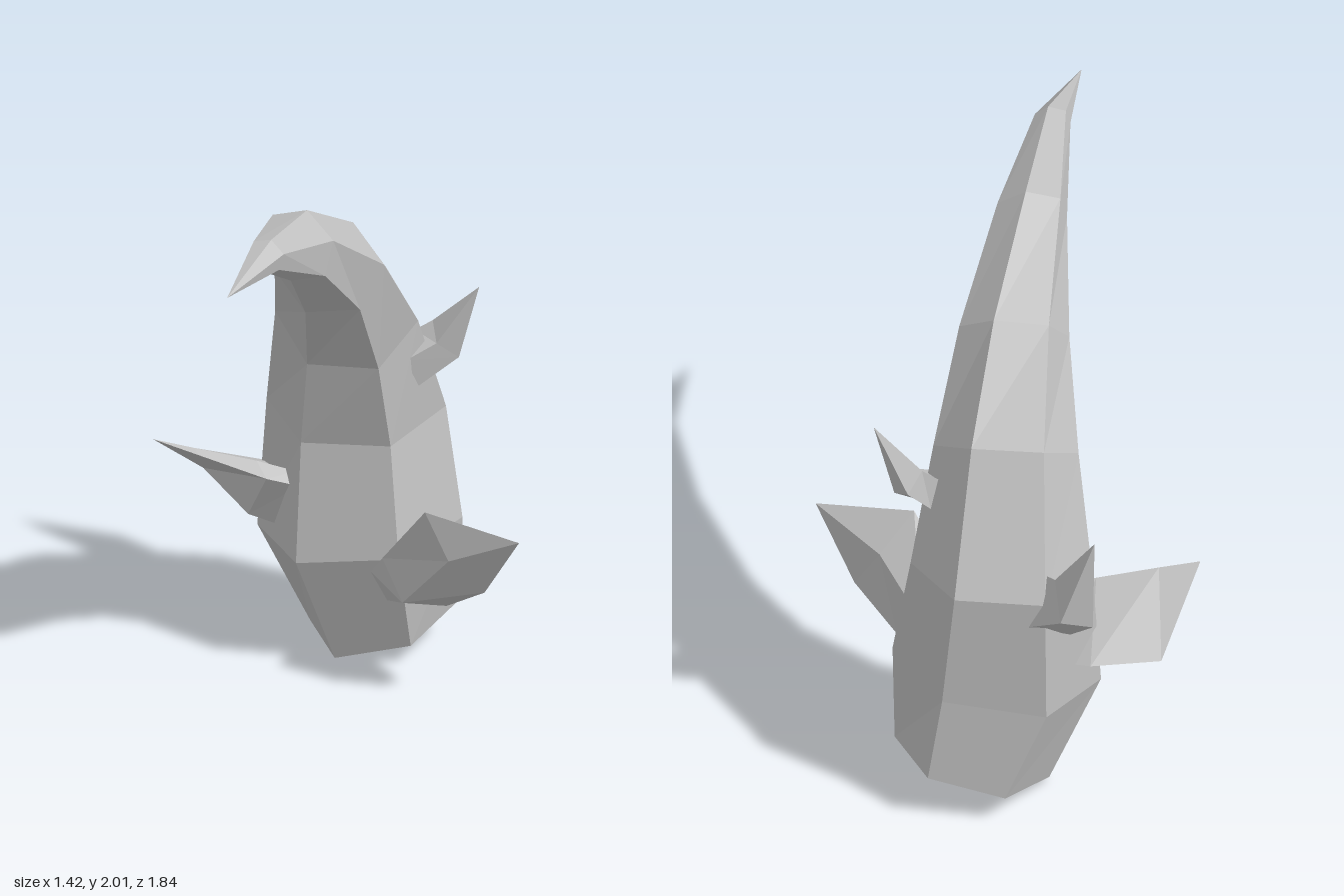
import * as THREE from 'three';

const grey = new THREE.MeshStandardMaterial({ color: 0xc0c0c0, flatShading: true, side: THREE.DoubleSide });
grey.name = 'horn grey';

// Skin a list of rings (equal point counts) and close them in a single tip point.
function loft(name, rings, tip) {
  const pos = [];
  const tri = (a, b, c) => pos.push(...a, ...b, ...c);
  rings.forEach((ring, r) => {
    const next = rings[r + 1];
    ring.forEach((a, i) => {
      const j = (i + 1) % ring.length;
      if (!next) return tri(a, ring[j], tip);
      tri(a, ring[j], next[j]);
      tri(a, next[j], next[i]);
    });
  });
  const geometry = new THREE.BufferGeometry();
  geometry.setAttribute('position', new THREE.Float32BufferAttribute(pos, 3));
  geometry.computeVertexNormals();
  const mesh = new THREE.Mesh(geometry, grey);
  mesh.name = name;
  return mesh;
}

// Six-sided ring from its centre and two neighbouring corners.
function hexagon([c, p, q]) {
  const at = (u, v) => c.map((k, i) => k + u * (p[i] - k) + v * (q[i] - k));
  return [[1, 0], [0, 1], [-1, 1], [-1, 0], [0, -1], [1, -1]].map(([u, v]) => at(u, v));
}

// Horn sections from base to tip: centre, front corner, front-left corner
const hornSections = [
  [[-0.04, 0.087, -0.642], [-0.10, 0.00, -0.36], [0.16, 0.07, -0.43]],
  [[-0.10, 0.445, -0.555], [-0.18, 0.40, -0.22], [0.17, 0.445, -0.316]],
  [[-0.127, 0.88, -0.581], [-0.193, 0.83, -0.284], [0.11, 0.84, -0.374]],
  [[-0.087, 1.276, -0.427], [-0.145, 1.157, -0.236], [0.098, 1.16, -0.305]],
  [[-0.02, 1.581, -0.159], [-0.05, 1.454, -0.034], [0.13, 1.475, -0.098]],
  [[0.05, 1.828, 0.215], [0.045, 1.714, 0.268], [0.16, 1.74, 0.231]],
  [[0.11, 1.95, 0.586], [0.098, 1.893, 0.599], [0.159, 1.905, 0.586]],
];

// Thorns: four-sided rings from the root inside the horn outwards, then the tip
const thorns = [
  {
    name: 'lowerLeftThorn', tip: [0.706, 0.67, -0.18],
    rings: [
      [[0.07, 0.386, -0.30], [0.124, 0.28, -0.32], [0.20, 0.28, -0.43], [0.16, 0.40, -0.42]],
      [[0.135, 0.466, -0.26], [0.246, 0.345, -0.194], [0.35, 0.30, -0.33], [0.24, 0.42, -0.386]],
      [[0.347, 0.72, -0.167], [0.447, 0.56, -0.15], [0.537, 0.42, -0.25], [0.437, 0.58, -0.27]],
    ],
  },
  {
    name: 'lowerRightThorn', tip: [-0.715, 0.78, -0.18],
    rings: [
      [[-0.25, 0.68, -0.36], [-0.22, 0.64, -0.33], [-0.30, 0.45, -0.38], [-0.34, 0.54, -0.60]],
      [[-0.378, 0.714, -0.31], [-0.325, 0.667, -0.28], [-0.426, 0.49, -0.34], [-0.47, 0.57, -0.62]],
      [[-0.58, 0.754, -0.23], [-0.56, 0.735, -0.22], [-0.67, 0.56, -0.48], [-0.69, 0.57, -0.507]],
    ],
  },
  {
    name: 'upperLeftThorn', tip: [0.333, 1.395, -0.615],
    rings: [
      [[0.13, 1.14, -0.45], [0.156, 1.03, -0.50], [0.12, 1.10, -0.62], [0.10, 1.20, -0.58]],
      [[0.21, 1.19, -0.53], [0.262, 1.12, -0.60], [0.19, 1.17, -0.66], [0.16, 1.24, -0.60]],
    ],
  },
  {
    name: 'backRightThorn', tip: [-0.556, 1.255, -0.815],
    rings: [
      [[-0.41, 0.72, -0.66], [-0.30, 0.82, -0.80], [-0.28, 0.98, -0.68], [-0.36, 0.84, -0.60]],
      [[-0.548, 0.89, -0.81], [-0.453, 0.93, -0.878], [-0.39, 1.02, -0.76], [-0.51, 0.93, -0.72]],
    ],
  },
];

export function createModel() {
  const model = new THREE.Group();
  model.name = 'thornedHorn';
  // Curved horn, open at the base
  model.add(loft('horn', hornSections.map(hexagon), [0.125, 1.925, 0.92]));
  for (const { name, rings, tip } of thorns) model.add(loft(name, rings, tip));
  return model;
}
